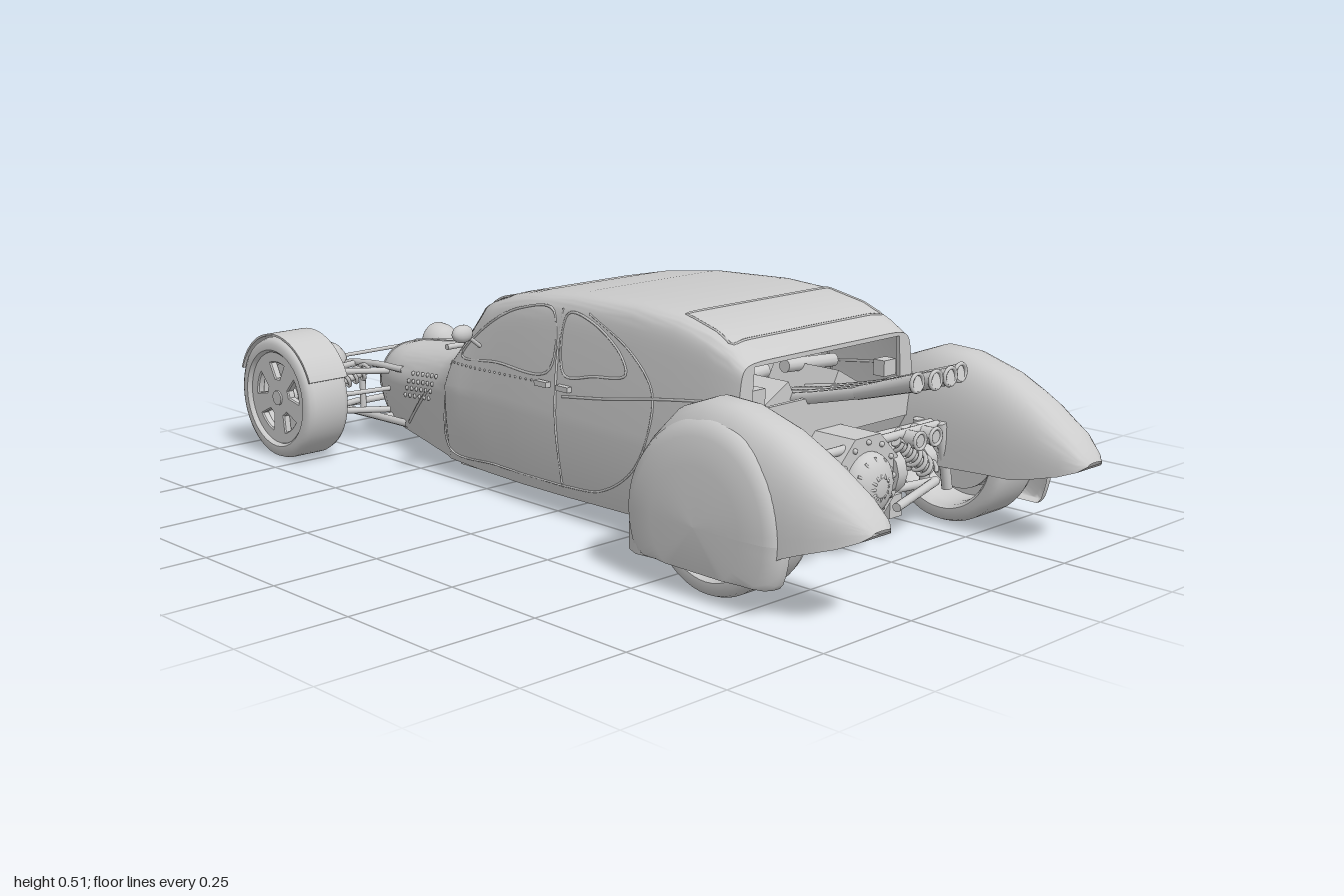
import * as THREE from 'three';
import { toCreasedNormals } from 'three/addons/utils/BufferGeometryUtils.js';

const mat = new THREE.MeshStandardMaterial({ color: 0xcccccc, side: THREE.DoubleSide });
const V = (x, y, z) => new THREE.Vector3(x, y, z);
const lerp = THREE.MathUtils.lerp;

// Body stations: z, top y, belt y, bottom y, roof half-width, belt half-width, sill half-width, corner squareness
const BODY = [
  [-.955, .09, .078, .065, .012, .016, .012, 2], [-.90, .165, .12, .06, .055, .068, .05, 2.4],
  [-.845, .232, .16, .055, .085, .108, .085, 2.8], [-.80, .242, .17, .055, .10, .13, .115, 3.2],
  [-.70, .253, .18, .05, .12, .158, .145, 3.6], [-.55, .276, .2, .046, .155, .194, .185, 3.8],
  [-.43, .297, .22, .045, .195, .228, .222, 4], [-.40, .315, .225, .045, .215, .25, .235, 5],
  [-.28, .44, .24, .045, .228, .262, .248, 9], [-.20, .466, .24, .046, .24, .268, .255, 10],
  [-.10, .486, .24, .047, .25, .276, .262, 12], [.05, .503, .24, .05, .258, .283, .268, 12],
  [.25, .51, .24, .055, .264, .288, .272, 12], [.38, .502, .24, .06, .266, .288, .272, 12],
  [.47, .483, .25, .075, .266, .286, .272, 12], [.53, .457, .27, .16, .264, .284, .272, 12],
  [.57, .43, .3, .24, .262, .28, .275, 12],
];
// Rear fender stations: z, top y, outer bottom y, inner bottom y, inner x, outer x
const FENDER = [
  [.41, .17, .12, .15, .28, .40], [.425, .235, .055, .14, .262, .435], [.46, .30, .055, .14, .255, .45],
  [.52, .358, .06, .14, .255, .455], [.60, .388, .065, .14, .257, .455], [.68, .385, .075, .142, .26, .452],
  [.78, .355, .1, .145, .265, .447], [.84, .325, .13, .145, .27, .44], [.88, .303, .145, .152, .275, .433],
  [.95, .255, .168, .17, .285, .415], [.985, .222, .183, .183, .30, .39], [1, .2, .195, .195, .32, .37],
];

function station(table, z) {
  let i = 0;
  while (i < table.length - 2 && z > table[i + 1][0]) i++;
  const a = table[i], b = table[i + 1], k = (z - a[0]) / (b[0] - a[0]);
  return a.map((v, j) => lerp(v, b[j], k));
}
// Body skin: t 0..1 roof centre to belt, 1..2 belt to sill, 2..3 sill to floor centre
function skin(z, t, s = 1) {
  const [, yt, yb, yl, wr, wb, wl, n] = station(BODY, z);
  if (t <= 1) {
    const fy = Math.max(0, Math.cos(t * Math.PI / 2)) ** (2 / n), fx = Math.sin(t * Math.PI / 2) ** (2 / n);
    return V(s * lerp(wb, wr, fy) * fx, lerp(yb, yt, fy), z);
  }
  if (t <= 2) return V(s * lerp(wb, wl, (t - 1) ** 2), lerp(yb, yl, t - 1), z);
  return V(s * wl * (3 - t), yl, z);
}
function findSkin(z, test, s, max) {
  let lo = 0, hi = max;
  for (let i = 0; i < 24; i++) { const m = (lo + hi) / 2; if (test(skin(z, m))) lo = m; else hi = m; }
  return skin(z, lo, s);
}
const onSide = (z, y, s) => findSkin(z, p => p.y > y, s, 2);
const onRoof = (z, x) => findSkin(z, p => p.x < Math.abs(x), Math.sign(x) || 1, 1);

// Surface from rows of points
function grid(rows, flip = false) {
  const n = rows[0].length, idx = [];
  for (let i = 0; i < rows.length - 1; i++) for (let j = 0; j < n - 1; j++) {
    const a = i * n + j, b = a + n, c = a + 1, d = b + 1;
    flip ? idx.push(a, c, b, b, c, d) : idx.push(a, b, c, b, d, c);
  }
  const g = new THREE.BufferGeometry().setFromPoints(rows.flat());
  g.setIndex(idx);
  return toCreasedNormals(g, .6);
}

export function createModel() {
  const car = new THREE.Group();
  car.name = 'hotRod';
  const add = (name, geo, x = 0, y = 0, z = 0, parent = car) => {
    const m = new THREE.Mesh(geo, mat);
    m.name = name; m.position.set(x, y, z); parent.add(m);
    return m;
  };
  const box = (name, w, h, d, x, y, z) => add(name, new THREE.BoxGeometry(w, h, d), x, y, z);
  const bar = (name, a, b, r, r2 = r) => {
    const m = add(name, new THREE.CylinderGeometry(r2, r, a.distanceTo(b), 12));
    m.position.copy(a).lerp(b, .5);
    m.quaternion.setFromUnitVectors(V(0, 1, 0), b.clone().sub(a).normalize());
  };
  const tube = (name, pts, r, closed = false, seg = pts.length * 4) =>
    add(name, new THREE.TubeGeometry(new THREE.CatmullRomCurve3(pts, closed, 'centripetal'), seg, r, 6, closed));
  const spring = (name, a, b, r) => {
    const d = b.clone().sub(a), u = V(0, 0, 1), w = d.clone().normalize().cross(u), pts = [];
    for (let i = 0; i <= 60; i++) {
      const q = i / 10 * Math.PI * 2;
      pts.push(a.clone().addScaledVector(d, i / 60).addScaledVector(u, r * Math.cos(q)).addScaledVector(w, r * Math.sin(q)));
    }
    tube(name, pts, .005, false, 120);
    bar(name + 'Damper', a, b, r * .6);
  };

  // Body shell
  const zs = [];
  BODY.forEach((b, i) => { if (i) zs.push((BODY[i - 1][0] + b[0]) / 2); zs.push(b[0]); });
  const ts = [];
  for (let i = 0; i <= 16; i++) ts.push(i / 16);
  for (let i = 1; i <= 8; i++) ts.push(1 + i / 8);
  ts.push(3);
  const ring = z => [...ts.map(t => skin(z, t)), ...ts.slice(0, -1).reverse().map(t => skin(z, t, -1))];
  add('bodyShell', grid(zs.map(ring)));

  // Rear panel with engine opening
  const rear = new THREE.Shape(ring(.57).map(p => new THREE.Vector2(p.x, p.y)));
  rear.holes.push(new THREE.Path([[-.235, .33], [.235, .33], [.228, .42], [-.228, .42]].map(p => new THREE.Vector2(...p))));
  add('rearPanel', new THREE.ExtrudeGeometry(rear, { depth: .01, bevelEnabled: false }), 0, 0, .562);
  box('firewall', .5, .38, .01, 0, .27, .33);

  // Window, door and panel lines
  for (const s of [-1, 1]) {
    const line = (name, pts, r, closed) => tube(name, pts.map(p => onSide(p[0], p[1], s)), r, closed, 60);
    line('doorGap', [[.03, .47], [.025, .35], [.03, .22], [.04, .08]], .003);
    line('rearDoorEdge', [[.12, .47], [.26, .41], [.33, .34], [.33, .25], [.28, .16], [.17, .09], [.04, .075]], .0025);
    line('frontDoorEdge', [[.04, .075], [-.2, .072], [-.4, .075], [-.41, .18], [-.40, .28]], .0025);
    line('rearWindowFrame', [[.05, .46], [.13, .455], [.23, .40], [.25, .36], [.15, .34], [.05, .33]], .003, true);
    line('frontWindowFrame', [[0, .46], [-.12, .45], [-.25, .39], [-.35, .305], [-.2, .315], [0, .33]], .003, true);
    line('beltCrease', [[.5, .345], [.35, .325], [.2, .30], [.05, .28]], .003);
    line('cowlEdge', [[-.43, .27], [-.55, .17], [-.66, .075]], .004);
    for (let i = 0; i < 20; i++)
      add('rivet', new THREE.SphereGeometry(.003, 6, 4)).position.copy(onSide(-.02 - i * .02, .30 - i * .001, s));
    for (let i = 0; i < 6; i++) for (let j = 0; j < 4; j++)
      add('hoodVent', new THREE.SphereGeometry(.006, 6, 4)).position.copy(onSide(-.49 - i * .028 - j * .012, .225 - i * .004 - j * .02, s));
    for (const z of [.06, -.01]) box('doorHandle', .014, .012, .04, s * .284, .30, z);
    bar('mirrorStalk', onSide(-.27, .34, s), V(s * .285, .37, -.27), .005);
    const mirror = add('mirror', new THREE.SphereGeometry(.028, 16, 10), s * .297, .375, -.27);
    mirror.scale.set(1, .75, .65);
    box('engineBayLamp', .04, .035, .03, s * .208, .352, .55);
  }
  const roofRect = (name, z0, z1, x0, x1, r) => {
    const pts = [];
    for (let i = -6; i <= 6; i++) pts.push(onRoof(z0, x0 * i / 6));
    for (let i = 1; i < 8; i++) pts.push(onRoof(lerp(z0, z1, i / 8), lerp(x0, x1, i / 8)));
    for (let i = 6; i >= -6; i--) pts.push(onRoof(z1, x1 * i / 6));
    for (let i = 7; i > 0; i--) pts.push(onRoof(lerp(z0, z1, i / 8), -lerp(x0, x1, i / 8)));
    tube(name, pts, r, true, 120);
  };
  roofRect('windscreenFrame', -.385, -.285, .20, .21, .003);
  roofRect('rearWindow', .375, .515, .222, .235, .003);
  bar('cowlStrip', V(-.245, .318, -.395), V(.245, .318, -.395), .007);
  tube('hoodRidge', [-.44, -.55, -.7, -.8, -.845, -.9, -.95].map(z => skin(z, 0)), .003);

  // Grille bars following the prow
  for (const s of [-1, 1]) {
    for (let i = 1; i <= 6; i++) tube('grilleBar', [-.845, -.87, -.9, -.93].map(z => skin(z, i / 6, s)), .003);
    for (let i = 0; i < 6; i++) tube('grilleHoop', [0, .2, .4, .6, .8, 1].map(t => skin(-.845 - i * .018, t, s)), .003);
  }

  // Floor and chassis
  const pan = new THREE.Shape([[-.16, .06], [-.14, .045], [-.07, .02], [.07, .02], [.14, .045], [.16, .06]].map(p => new THREE.Vector2(...p)));
  add('sumpPan', new THREE.ExtrudeGeometry(pan, { depth: .16, bevelEnabled: false }), 0, 0, .14);
  box('rearCrossmember', .5, .03, .03, 0, .085, .5);
  for (const s of [-1, 1]) {
    box('floorRail', .02, .02, .85, s * .215, .045, .05);
    box('skid', .04, .03, .16, s * .14, .04, .22);
  }

  // Wheels: lathed tyre, five-window rim, hub and brake disc
  function wheel(name, x, z, r, w) {
    const g = new THREE.Group();
    g.name = name; g.position.set(x, r + .004, z); g.rotation.y = x > 0 ? 0 : Math.PI;
    car.add(g);
    const prof = [[.76, -.9], [.8, -1], [.9, -1], [.97, -.9], [1, -.7], [1, .7], [.97, .9], [.9, 1], [.8, 1], [.76, .9], [.74, .5], [.74, -.5], [.76, -.9]];
    add('tyre', toCreasedNormals(new THREE.LatheGeometry(prof.map(p => new THREE.Vector2(p[0] * r, p[1] * w)), 48).rotateZ(-Math.PI / 2), .7), 0, 0, 0, g);
    const face = new THREE.Shape().absarc(0, 0, r * .76, 0, Math.PI * 2);
    for (let i = 0; i < 5; i++) {
      const a = Math.PI / 2 + i * Math.PI * .4, hole = new THREE.Path();
      hole.absarc(0, 0, r * .6, a - .36, a + .36, false);
      hole.absarc(0, 0, r * .3, a + .22, a - .22, true);
      hole.closePath(); face.holes.push(hole);
    }
    const opt = { depth: .014, bevelEnabled: true, bevelSize: .003, bevelThickness: .003, bevelSegments: 1, curveSegments: 24 };
    add('rim', new THREE.ExtrudeGeometry(face, opt).rotateY(Math.PI / 2), w * .55, 0, 0, g);
    add('hub', new THREE.CylinderGeometry(r * .12, r * .16, w * .9, 16).rotateZ(-Math.PI / 2), w * .45, 0, 0, g);
    add('brakeDisc', new THREE.CylinderGeometry(r * .6, r * .6, .015, 32).rotateZ(Math.PI / 2), 0, 0, 0, g);
  }

  for (const s of [-1, 1]) {
    wheel('frontWheel', s * .385, -.825, .15, .06);
    wheel('rearWheel', s * .368, .64, .162, .067);

    // Slim guard over each front tyre
    const arc = new THREE.Shape().absarc(0, 0, .159, .35, 2.75, false);
    arc.absarc(0, 0, .154, 2.75, .35, true);
    add('frontGuard', new THREE.ExtrudeGeometry(arc, { depth: .11, bevelEnabled: false, curveSegments: 24 }).rotateY(Math.PI / 2), s * .385 - .055, .154, -.825);

    // Teardrop rear fender with closed tail and domed round spat
    const rows = FENDER.map(([z, yt, yo, yi, xi, xo]) => Array.from({ length: 29 }, (_, j) => {
      const a = j / 28 * Math.PI, c = Math.cos(a), k = (1 - Math.sign(c) * Math.abs(c) ** (2 / 2.7)) / 2;
      return V(s * lerp(xi, xo, k), lerp(lerp(yi, yo, k), yt, Math.max(0, Math.sin(a)) ** (2 / 2.7)), z);
    }));
    add('rearFender', grid(rows, s < 0));
    add('fenderTailFloor', grid(rows.slice(7).map(r => [r[0], r[28]]), s > 0));
    const dome = [[.208, -.03], [.206, -.012], [.196, .002], [.175, .011], [.12, .017], [0, .019]];
    const spat = new THREE.LatheGeometry(dome.map(p => new THREE.Vector2(...p)), 64).rotateZ(-s * Math.PI / 2);
    const pos = spat.attributes.position;
    for (let i = 0; i < pos.count; i++) {
      const y = Math.max(pos.getY(i), -.09);
      pos.setXYZ(i, pos.getX(i) - s * Math.max(0, y) ** 2 * .45, y, pos.getZ(i));
    }
    spat.computeVertexNormals();
    add('fenderSpat', spat, s * .444, .15, .632);

    // Front suspension and frame horns
    for (const [y, xo] of [[.2, .31], [.1, .32]]) {
      for (const z of [-.755, -.89]) bar('frontWishbone', V(s * .15, y - .01, z), V(s * xo, y, -.825), .008);
    }
    bar('frontUpright', V(s * .315, .09, -.825), V(s * .312, .21, -.825), .014);
    bar('frontStub', V(s * .3, .154, -.825), V(s * .39, .154, -.825), .02);
    spring('frontSpring', V(s * .16, .18, -.835), V(s * .295, .15, -.835), .018);
    bar('steeringRod', V(s * .13, .14, -.77), V(s * .32, .145, -.78), .006);
    tube('lowerFrameTube', [V(s * .15, .065, -.68), V(s * .158, .065, -.85), V(s * .155, .06, -.985)], .01);
    tube('upperFrameTube', [V(s * .145, .2, -.70), V(s * .158, .2, -.82), V(s * .158, .17, -.95), V(s * .155, .06, -.985)], .009);
    bar('frameUpright', V(s * .156, .065, -.86), V(s * .156, .2, -.86), .008);

    // Headlight bowl
    const bowl = [[0, .037], [.022, .034], [.039, .018], [.048, -.005], [.05, -.03], [.046, -.036], [.03, -.039], [0, -.041]];
    add('headlight', new THREE.LatheGeometry(bowl.map(p => new THREE.Vector2(...p)), 28).rotateX(Math.PI / 2), s * .185, .187, -.957);
    bar('headlightStalk', V(s * .157, .12, -.955), V(s * .182, .16, -.955), .008);

    // Rear axle, springs and lamps
    bar('halfShaft', V(s * .06, .16, .64), V(s * .37, .16, .64), .018);
    bar('axleFlange', V(s * .085, .16, .64), V(s * .115, .16, .64), .055);
    bar('shaftJoint', V(s * .22, .16, .64), V(s * .25, .16, .64), .03);
    for (const z of [.61, .67]) bar('rearUpright', V(s * .285, .09, z), V(s * .255, .24, z), .012);
    for (const z of [.57, .68]) bar('rearLowerArm', V(s * .1, .085, z), V(s * .285, .1, .64), .01);
    bar('rearUpperArm', V(s * .1, .225, .61), V(s * .26, .235, .64), .009);
    spring('rearSpring', V(s * .11, .225, .665), V(s * .225, .14, .665), .02);
    box('rearBracket', .04, .05, .1, s * .135, .075, .6);
    for (const x of [.147, .2]) {
      bar('tailLamp', V(s * x, .225, .64), V(s * x, .225, .70), .019);
      add('tailLampRim', new THREE.TorusGeometry(.018, .004, 8, 20), s * x, .225, .70);
    }
  }
  for (const [y, z] of [[.06, -.985], [.065, -.78]]) bar('frontCrossTube', V(-.157, y, z), V(.157, y, z), .009);
  bar('headlightBar', V(-.157, .19, -.985), V(.157, .19, -.985), .005);
  bar('lampBar', V(-.255, .235, .66), V(.255, .235, .66), .01);

  // Engine, gearbox and exhausts
  box('engineBlock', .2, .2, .2, 0, .21, .44);
  for (const s of [-1, 1]) {
    box('cylinderHead', .08, .06, .18, s * .1, .315, .44).rotation.z = -s * .5;
    bar('intakePipe', V(s * .03, .36, .42), V(s * .19, .35, .42), .015);
  }
  add('gearbox', toCreasedNormals(new THREE.CylinderGeometry(.105, .105, .14, 8).rotateY(Math.PI / 8).rotateX(Math.PI / 2), .3), 0, .16, .61);
  const cover = add('gearboxCover', new THREE.SphereGeometry(.07, 24, 16), 0, .155, .68);
  cover.scale.z = .6;
  for (let i = 0; i < 12; i++) {
    const a = i * Math.PI / 6, c = Math.cos(a), n = Math.sin(a);
    bar('coverRib', V(.02 * c, .155 + .02 * n, .72), V(.062 * c, .155 + .062 * n, .70), .003);
    add('coverBolt', new THREE.SphereGeometry(.006, 8, 6), .085 * c, .16 + .085 * n, .682);
  }
  for (const x of [-.07, -.024, .022, .066]) {
    const end = V(x, .41, .87 - Math.abs(x) * .2), neck = V(x * .88, .362, .70);
    tube('exhaustPipe', [V(x * .9, .31, .46), V(x * .85, .328, .56), neck], .014, false, 16);
    bar('exhaustTrumpet', neck, end, .014, .018);
    add('exhaustLip', new THREE.TorusGeometry(.018, .004, 8, 20)).position.copy(end);
  }
  return car;
}
